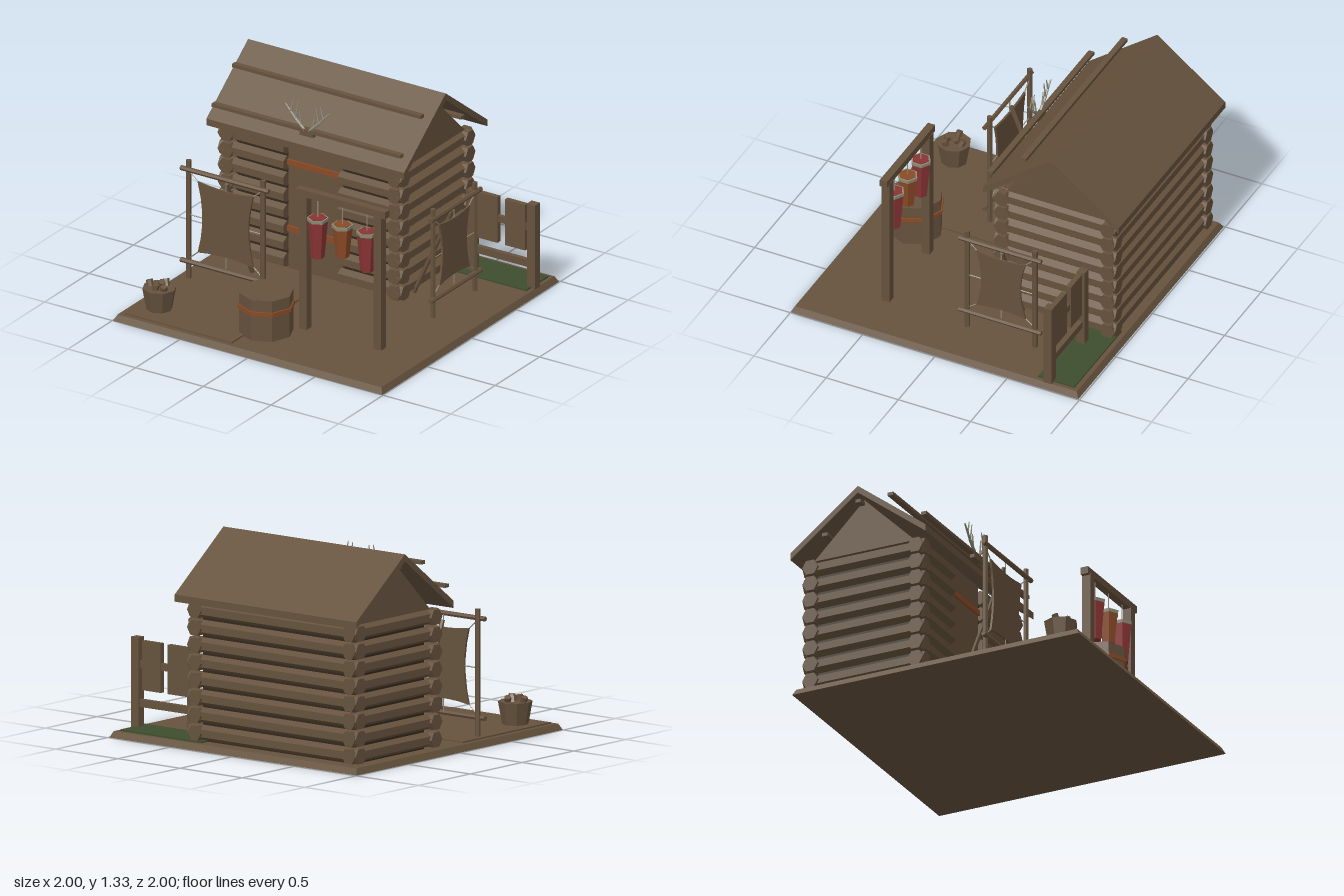
import * as THREE from 'three';

const mat = (name, color, extra = {}) => Object.assign(new THREE.MeshStandardMaterial({ color, flatShading: true, ...extra }), { name });

export function createModel() {
  const wood = mat('brown wood', 0x66523d);
  const dark = mat('dark chinking', 0x32281d);
  const green = mat('grass green', 0x3d4e2f);
  const red = mat('red meat', 0x8a3434);
  const orange = mat('rust orange', 0x8b4a25);
  const bone = mat('bone', 0x8f8c78);
  const root = new THREE.Group();
  root.name = 'trapperCabin';

  const add = (parent, name, geo, m, x = 0, y = 0, z = 0) => {
    const mesh = new THREE.Mesh(geo, m);
    mesh.name = name;
    mesh.position.set(x, y, z);
    parent.add(mesh);
    return mesh;
  };
  // box given by its minimum and maximum corners
  const box = (parent, name, m, x0, x1, y0, y1, z0, z1) =>
    add(parent, name, new THREE.BoxGeometry(x1 - x0, y1 - y0, z1 - z0), m, (x0 + x1) / 2, (y0 + y1) / 2, (z0 + z1) / 2);
  // prism rod between two points
  const rod = (parent, name, m, a, b, r, sides = 6, r2 = r, spin = 0) => {
    const A = new THREE.Vector3(...a), B = new THREE.Vector3(...b), d = B.clone().sub(A);
    const geo = new THREE.CylinderGeometry(r2, r, d.length(), sides).rotateY(spin);
    const mesh = add(parent, name, geo, m);
    mesh.position.copy(A).add(B).multiplyScalar(0.5);
    mesh.quaternion.setFromUnitVectors(new THREE.Vector3(0, 1, 0), d.normalize());
    return mesh;
  };
  const group = (name) => {
    const g = new THREE.Group();
    g.name = name;
    root.add(g);
    return g;
  };

  // ground
  add(root, 'ground', new THREE.CylinderGeometry(0.975 * Math.SQRT2, 0.995 * Math.SQRT2, 0.04, 4).rotateY(Math.PI / 4), wood, 0, 0.02, 0.005);
  box(root, 'yardMat', wood, -0.94, -0.15, 0.04, 0.049, 0.1, 0.95);
  box(root, 'grassPatch', green, 0.3, 0.95, 0.04, 0.049, -0.94, -0.69);

  // log walls: eight rows, the front row parted by the door
  const cabin = group('cabin');
  box(cabin, 'wallCore', dark, -0.88, 0.34, 0.04, 0.92, -0.87, -0.2);
  for (let i = 0; i < 8; i++) {
    const y = 0.1 + i * 0.11;
    const along = (x0, x1, z) => rod(cabin, 'wallLog', wood, [x0, y, z], [x1, y, z], 0.048, 6, 0.048, Math.PI / 6);
    along(-0.94, 0.4, -0.89);
    along(-0.94, -0.47, -0.16);
    along(-0.07, 0.4, -0.16);
    for (const x of [-0.89, 0.35]) {
      rod(cabin, 'sideLog', wood, [x, y, -0.94], [x, y, -0.12], 0.048);
      rod(cabin, 'logEnd', wood, [x, y, -0.15], [x, y, -0.107], 0.054, 6, 0.054, Math.PI / 6);
      rod(cabin, 'logEnd', wood, [x, y, -0.945], [x, y, -0.9], 0.054, 6, 0.054, Math.PI / 6);
    }
    for (const z of [-0.89, -0.16]) {
      rod(cabin, 'logEnd', wood, [0.365, y, z], [0.408, y, z], 0.054);
      rod(cabin, 'logEnd', wood, [-0.948, y, z], [-0.905, y, z], 0.054);
    }
  }
  box(cabin, 'door', wood, -0.47, -0.07, 0.04, 0.95, -0.21, -0.175);
  for (const y of [0.315, 0.765]) box(cabin, 'doorStrap', orange, -0.47, -0.07, y - 0.018, y + 0.018, -0.18, -0.16);

  // gable and roof, extruded along x from (z, y) outlines
  const extrudeX = (name, pts, x0, x1) => {
    const shape = new THREE.Shape(pts.map(([z, y]) => new THREE.Vector2(-z, y)));
    const geo = new THREE.ExtrudeGeometry(shape, { depth: x1 - x0, bevelEnabled: false });
    add(cabin, name, geo.rotateY(Math.PI / 2), wood, x0);
  };
  extrudeX('gable', [[-0.18, 0.92], [-0.53, 1.265], [-0.88, 0.92]], -0.91, 0.37);
  extrudeX('roof', [[-0.06, 0.92], [-0.06, 0.965], [-0.53, 1.325], [-1, 0.965], [-1, 0.92], [-0.53, 1.28]], -1, 0.46);
  for (const [y, z] of [[1.24, -0.32], [1.06, -0.09], [1.24, -0.545], [1.06, -0.775]])
    box(cabin, 'roofBatten', wood, -0.97, 0.425, y - 0.011, y + 0.011, z - 0.019, z + 0.019);

  // antlers
  const antlers = group('antlers');
  box(antlers, 'antlerPlaque', wood, -0.32, -0.22, 1.025, 1.06, -0.1, -0.07);
  for (const s of [-1, 1]) {
    const p = (x, y) => [-0.27 + s * x, y, -0.08];
    rod(antlers, 'antlerBeam', bone, p(0.015, 1.06), p(0.09, 1.13), 0.01, 5);
    rod(antlers, 'antlerBeam', bone, p(0.085, 1.125), p(0.16, 1.21), 0.009, 5, 0.005);
    rod(antlers, 'antlerTine', bone, p(0.045, 1.09), p(0.055, 1.18), 0.007, 5, 0.003);
    rod(antlers, 'antlerTine', bone, p(0.085, 1.13), p(0.065, 1.24), 0.007, 5, 0.003);
    rod(antlers, 'antlerTine', bone, p(0.12, 1.165), p(0.1, 1.245), 0.007, 5, 0.003);
  }

  // hide stretching racks
  const hideRack = (half, height, hw, y0, y1) => {
    const g = group('hideRack');
    const bar = height - 0.06, mid = (y0 + y1) / 2;
    for (const s of [-1, 1]) rod(g, 'rackPost', wood, [s * half, 0.04, 0], [s * half, height, 0], 0.018);
    for (const y of [0.165, bar]) rod(g, 'rackBar', wood, [-half - 0.05, y, 0.012], [half + 0.05, y, 0.012], 0.016);
    rod(g, 'rackStrut', wood, [0, bar - 0.04, -0.01], [0, 0.045, -0.295], 0.015);
    const s = new THREE.Shape();
    const c = 0.035;
    s.moveTo(-hw, y0);
    s.quadraticCurveTo(0, y0 + c, hw, y0);
    s.quadraticCurveTo(hw - 2 * c, mid, hw, y1);
    s.quadraticCurveTo(0, y1 - c, -hw, y1);
    s.quadraticCurveTo(-hw + 2 * c, mid, -hw, y0);
    add(g, 'hide', new THREE.ExtrudeGeometry(s, { depth: 0.014, bevelEnabled: false, curveSegments: 5 }), wood, 0, 0, -0.007);
    const tie = (a, b) => rod(g, 'hideTie', bone, [...a, 0], [...b, 0], 0.004, 4);
    for (const k of [-1, 1]) {
      tie([k * hw, y0], [k * half, 0.18]);
      tie([k * hw, y1], [k * half, bar - 0.01]);
      tie([k * (hw - c), mid], [k * half, mid]);
    }
    tie([0, y0 + c / 2], [0, 0.165]);
    tie([0, y1 - c / 2], [0, bar]);
    return g;
  };
  hideRack(0.275, 0.85, 0.205, 0.24, 0.72).position.set(-0.62, 0, 0.3);
  const sideRack = hideRack(0.235, 0.775, 0.17, 0.23, 0.645);
  sideRack.position.set(0.675, 0, -0.295);
  sideRack.rotation.y = Math.PI / 2;

  // meat rack
  const meatRack = group('meatRack');
  for (const x of [0.1, 0.65]) box(meatRack, 'meatPost', wood, x - 0.028, x + 0.028, 0.04, 0.95, 0.477, 0.533);
  box(meatRack, 'meatBeam', wood, 0.045, 0.707, 0.94, 0.987, 0.48, 0.53);
  for (const [x, low, m] of [[0.193, 0.545, red], [0.375, 0.595, orange], [0.557, 0.545, red]]) {
    rod(meatRack, 'meatCord', bone, [x, 0.81, 0.505], [x, 0.94, 0.505], 0.004, 4);
    add(meatRack, 'meatFat', new THREE.CylinderGeometry(0.068, 0.066, 0.022, 6), bone, x, 0.802, 0.505);
    add(meatRack, 'meatTop', new THREE.CylinderGeometry(0.056, 0.056, 0.006, 6), m, x, 0.814, 0.505);
    add(meatRack, 'meat', new THREE.CylinderGeometry(0.064, 0.042, 0.795 - low, 6), m, x, (0.795 + low) / 2, 0.505);
  }

  // barrel
  const barrel = group('barrel');
  add(barrel, 'barrelBody', new THREE.CylinderGeometry(0.172, 0.172, 0.275, 8), wood, -0.075, 0.178, 0.675);
  add(barrel, 'barrelHoop', new THREE.CylinderGeometry(0.182, 0.182, 0.026, 8), orange, -0.075, 0.226, 0.675);

  // bucket of kindling
  const bucket = group('kindlingBucket');
  add(bucket, 'bucket', new THREE.CylinderGeometry(0.108, 0.082, 0.145, 8), wood, -0.8, 0.12, 0.775);
  for (let i = 0; i < 5; i++) {
    const a = i * 1.257 + 0.4, x = -0.8 + 0.05 * Math.cos(a), z = 0.775 + 0.05 * Math.sin(a);
    rod(bucket, 'kindling', wood, [x, 0.15, z], [x + 0.035 * Math.cos(a * 3), 0.225, z + 0.03 * Math.sin(a * 2)], 0.022, 6);
  }

  // pelt board frame behind the cabin's side
  const frame = group('peltFrame');
  box(frame, 'framePost', wood, 0.47, 0.53, 0.04, 0.59, -0.797, -0.743);
  box(frame, 'framePost', wood, 0.92, 0.98, 0.04, 0.61, -0.797, -0.743);
  box(frame, 'frameRail', wood, 0.5, 0.95, 0.172, 0.22, -0.785, -0.755);
  box(frame, 'frameRail', wood, 0.5, 0.95, 0.42, 0.465, -0.782, -0.758);
  box(frame, 'peltBoard', wood, 0.54, 0.695, 0.28, 0.59, -0.787, -0.753);
  box(frame, 'peltBoard', wood, 0.75, 0.9, 0.28, 0.59, -0.787, -0.753);

  return root;
}
